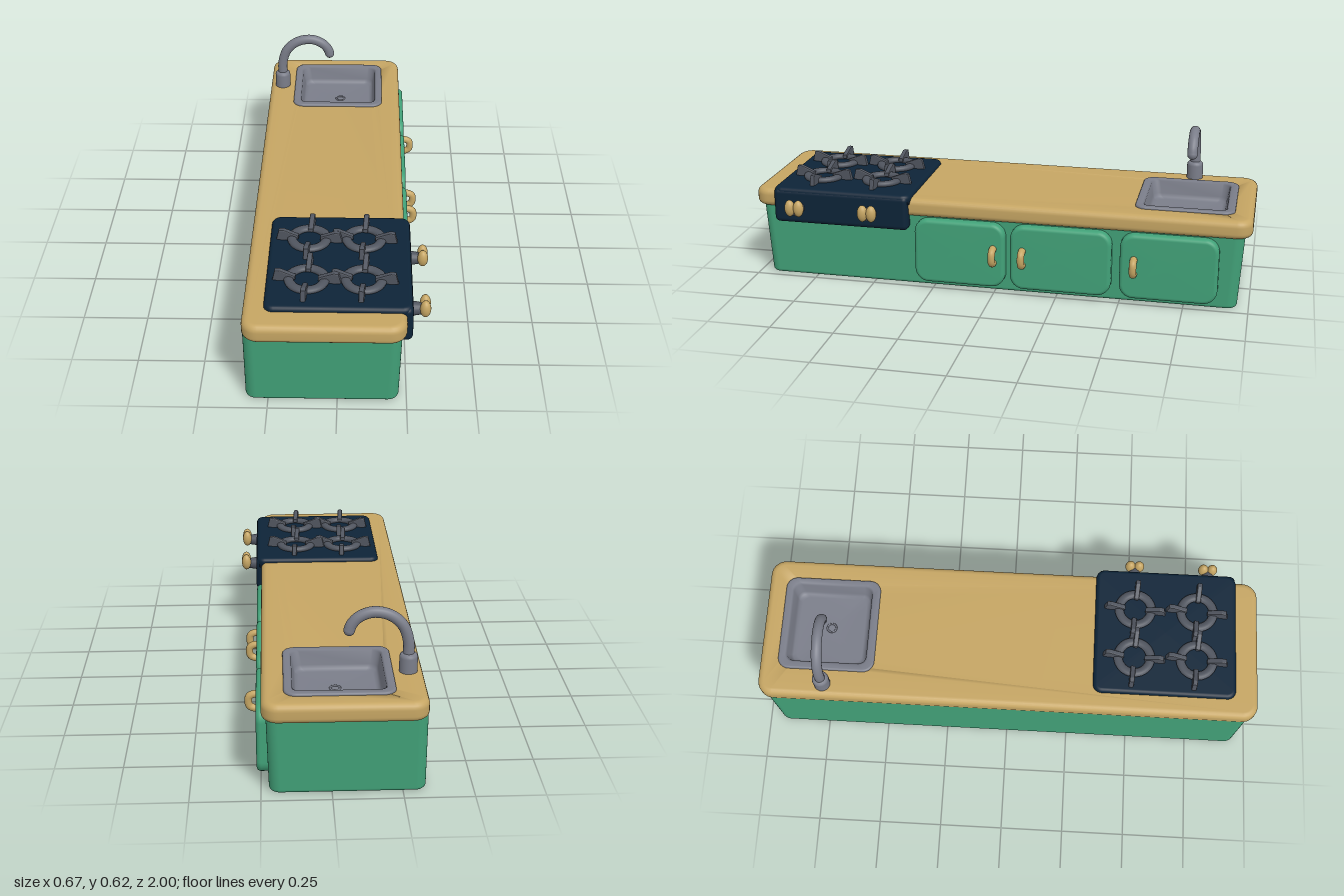
import * as THREE from 'three';
import { RoundedBoxGeometry } from 'three/addons/geometries/RoundedBoxGeometry.js';

const material = (name, color) => {
  const m = new THREE.MeshStandardMaterial({ color });
  m.name = name;
  return m;
};

// Skin over rounded rectangles [x0, x1, z0, z1, cornerRadius, y], ordered up the outside then inward.
function loft(sections, capStart, capEnd) {
  const K = 8, N = 4 * (K + 1), pos = [], idx = [];
  for (const [x0, x1, z0, z1, r, y] of sections) {
    for (let q = 0; q < 4; q++) {
      const cx = q === 0 || q === 3 ? x1 - r : x0 + r;
      const cz = q < 2 ? z1 - r : z0 + r;
      for (let k = 0; k <= K; k++) {
        const a = (q + k / K) * Math.PI / 2;
        pos.push(cx + r * Math.cos(a), y, cz + r * Math.sin(a));
      }
    }
  }
  for (let i = 0; i < sections.length - 1; i++) {
    for (let j = 0; j < N; j++) {
      const a = i * N + j, d = i * N + (j + 1) % N;
      idx.push(a, a + N, d + N, a, d + N, d);
    }
  }
  const cap = (i, top) => {
    const [x0, x1, z0, z1, , y] = sections[i], c = pos.length / 3;
    pos.push((x0 + x1) / 2, y, (z0 + z1) / 2);
    for (let j = 0; j < N; j++) {
      const a = i * N + j, b = i * N + (j + 1) % N;
      if (top) idx.push(c, b, a); else idx.push(c, a, b);
    }
  };
  if (capStart) cap(0, false);
  if (capEnd) cap(sections.length - 1, true);
  const g = new THREE.BufferGeometry();
  g.setAttribute('position', new THREE.Float32BufferAttribute(pos, 3));
  g.setIndex(idx);
  g.computeVertexNormals();
  return g;
}

// Quarter-round edge: sections bending from side wall to flat face (up) or from flat face to wall (down).
function roundEdge([x0, x1, z0, z1, r], y, b, top) {
  const out = [];
  for (let i = 0; i <= 5; i++) {
    const a = (i / 5) * Math.PI / 2;
    const inset = b * (1 - (top ? Math.cos(a) : Math.sin(a)));
    const yy = top ? y - b + b * Math.sin(a) : y + b - b * Math.cos(a);
    out.push([x0 + inset, x1 - inset, z0 + inset, z1 - inset, Math.max(r - inset, 0.003), yy]);
  }
  return out;
}

export function createModel() {
  const green = material('cabinet green', 0x42a279);
  const tan = material('wood tan', 0xc5a563);
  const navy = material('stove navy', 0x0d2438);
  const steel = material('sink grey', 0x7a7d89);
  const iron = material('burner grey', 0x50555f);

  const model = new THREE.Group();
  model.name = 'kitchenCounter';
  const add = (name, geo, mat, parent = model) => {
    const m = new THREE.Mesh(geo, mat);
    m.name = name;
    parent.add(m);
    return m;
  };

  // Cabinet body, slightly wider towards the top
  add('cabinet', loft([
    ...roundEdge([-0.333, 0.222, -0.955, 0.955, 0.04], 0, 0.014, false),
    [-0.333, 0.23, -0.973, 0.973, 0.04, 0.31],
  ], true, false), green);

  // Countertop with an opening for the sink
  const slab = [-0.335, 0.246, -1, 1, 0.06];
  add('countertop', loft([
    [-0.29, 0.19, -0.95, 0.95, 0.03, 0.295],
    ...roundEdge(slab, 0.295, 0.022, false),
    ...roundEdge(slab, 0.367, 0.025, true),
    [-0.205, 0.15, -0.905, -0.56, 0.035, 0.367],
    [-0.205, 0.15, -0.905, -0.56, 0.035, 0.32],
  ], false, false), tan);

  // Sink: raised rim, sloping walls and a rounded floor
  add('sink', loft([
    [-0.225, 0.167, -0.927, -0.54, 0.045, 0.362],
    ...roundEdge([-0.225, 0.167, -0.927, -0.54, 0.045], 0.376, 0.008, true),
    [-0.199, 0.143, -0.9, -0.567, 0.034, 0.376],
    [-0.192, 0.136, -0.893, -0.574, 0.032, 0.37],
    [-0.184, 0.128, -0.885, -0.582, 0.032, 0.32],
    [-0.178, 0.122, -0.879, -0.588, 0.032, 0.306],
    [-0.165, 0.109, -0.866, -0.601, 0.03, 0.3],
  ], false, true), steel);
  const drain = add('drain', new THREE.TorusGeometry(0.018, 0.004, 8, 24), steel);
  drain.rotation.x = Math.PI / 2;
  drain.position.set(-0.02, 0.3, -0.735);

  // Tap: collar and curved spout
  const tap = new THREE.Group();
  tap.name = 'tap';
  tap.position.z = -0.74;
  model.add(tap);
  const collar = [[0.033, 0.36], [0.033, 0.422], [0.031, 0.431], [0.024, 0.438], [0, 0.44]];
  add('tapCollar', new THREE.LatheGeometry(collar.map(p => new THREE.Vector2(...p)), 28), steel, tap)
    .position.x = -0.28;
  const spout = new THREE.CatmullRomCurve3([
    [-0.28, 0.42], [-0.278, 0.485], [-0.257, 0.545], [-0.21, 0.585], [-0.15, 0.596],
    [-0.1, 0.577], [-0.075, 0.548], [-0.068, 0.528],
  ].map(([x, y]) => new THREE.Vector3(x, y, 0)));
  add('tapSpout', new THREE.TubeGeometry(spout, 48, 0.0205, 18), steel, tap);
  add('spoutTip', new THREE.SphereGeometry(0.0205, 18, 12), steel, tap).position.set(-0.068, 0.528, 0);

  // Cupboard doors with arched handles
  const handlePath = new THREE.CatmullRomCurve3([
    [0.25, 0.191], [0.276, 0.191], [0.292, 0.182], [0.296, 0.163], [0.292, 0.144], [0.276, 0.134], [0.25, 0.134],
  ].map(([x, y]) => new THREE.Vector3(x, y, 0)));
  for (const [z0, z1, hz] of [[-0.045, 0.322, 0.0], [-0.467, -0.066, -0.117], [-0.88, -0.5, -0.556]]) {
    const rect = [-0.292, -0.027, z0, z1, 0.055];
    const door = add('door', loft([[...rect, 0.21], ...roundEdge(rect, 0.265, 0.016, true)], false, true), green);
    door.rotation.z = -Math.PI / 2;
    add('doorHandle', new THREE.TubeGeometry(handlePath, 32, 0.0145, 14), tan).position.z = hz;
  }

  // Stove: top plate and control panel folding over the counter edge
  const plate = [-0.26, 0.266, 0.34, 0.91, 0.035];
  add('stoveTop', loft([[...plate, 0.345], ...roundEdge(plate, 0.384, 0.016, true)], true, true), navy);
  add('stovePanel', new RoundedBoxGeometry(0.068, 0.142, 0.56, 4, 0.02), navy).position.set(0.234, 0.309, 0.628);

  // Control knobs: stem and two-lobed grip
  for (const kz of [0.803, 0.5]) {
    const knob = new THREE.Group();
    knob.name = 'controlKnob';
    knob.position.set(0.265, 0.318, kz);
    model.add(knob);
    const stem = add('knobStem', new THREE.CylinderGeometry(0.02, 0.028, 0.05, 20), iron, knob);
    stem.rotation.z = -Math.PI / 2;
    stem.position.set(0.02, -0.012, 0);
    for (const s of [-1, 1]) {
      const lobe = add('knobGrip', new THREE.SphereGeometry(1, 20, 14), tan, knob);
      lobe.scale.set(0.02, 0.034, 0.021);
      lobe.position.set(0.048, 0, s * 0.018);
    }
  }

  // Burners: flattened ring with four raised prongs
  const prong = new THREE.Shape([
    [0.045, 0.394], [0.045, 0.403], [0.098, 0.424], [0.112, 0.422], [0.12, 0.388], [0.1, 0.384],
  ].map(p => new THREE.Vector2(...p)));
  const prongGeo = new THREE.ExtrudeGeometry(prong, {
    depth: 0.01, bevelThickness: 0.005, bevelSize: 0.004, bevelSegments: 2,
  });
  prongGeo.translate(0, 0, -0.005);
  const ringGeo = new THREE.TorusGeometry(0.065, 0.018, 12, 36);
  ringGeo.rotateX(Math.PI / 2);
  ringGeo.scale(1, 0.7, 1);
  for (const x of [-0.112, 0.093]) {
    for (const z of [0.5, 0.75]) {
      const burner = new THREE.Group();
      burner.name = 'burner';
      burner.position.set(x, 0, z);
      burner.rotation.y = -0.08;
      model.add(burner);
      add('burnerRing', ringGeo, iron, burner).position.y = 0.392;
      for (let i = 0; i < 4; i++) add('burnerProng', prongGeo, iron, burner).rotation.y = i * Math.PI / 2;
    }
  }
  return model;
}
